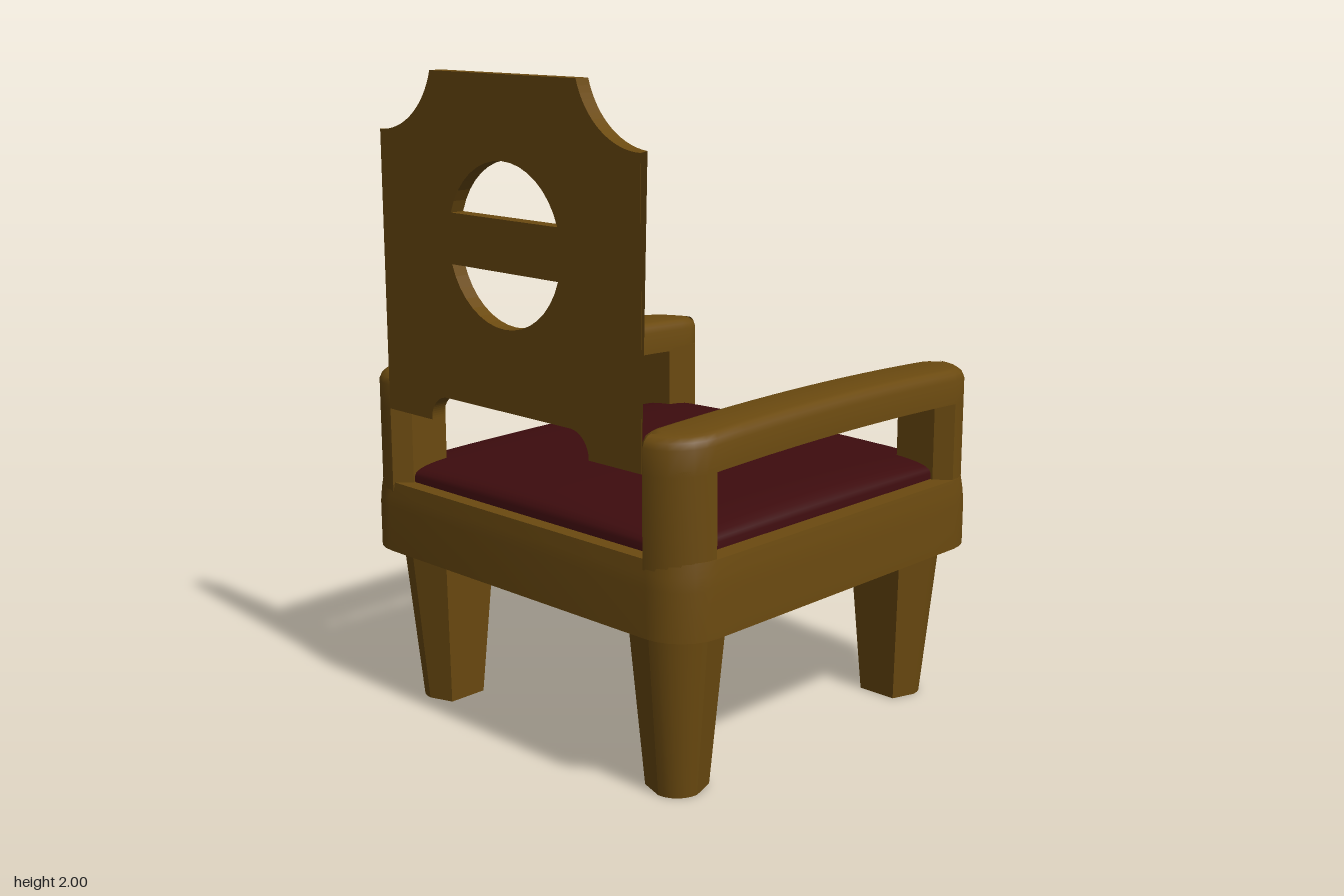
import * as THREE from 'three';
import { toCreasedNormals } from 'three/addons/utils/BufferGeometryUtils.js';

const wood = new THREE.MeshStandardMaterial({ color: 0x6b4a10 });
wood.name = 'brown wood';
const fabric = new THREE.MeshStandardMaterial({ color: 0x3d0c0e });
fabric.name = 'dark red fabric';

function add(parent, name, geometry, material) {
  const mesh = new THREE.Mesh(geometry, material);
  mesh.name = name;
  parent.add(mesh);
  return mesh;
}

// z stations of a plan with rounded ends: dense at the corners, even between
function stations(end, radius) {
  const c = end - radius, tail = [];
  for (let i = 1; i <= 6; i++) tail.push(c + radius * Math.sin((i / 6) * Math.PI / 2));
  const mid = [];
  for (let i = -5; i <= 5; i++) mid.push((i / 5) * c);
  return [...tail.map((z) => -z).reverse(), ...mid, ...tail];
}

// Stacked rings, each a run along +z on the right and back along the left, closed by strips
function loft(zs, levels, right, left, lift = () => 0) {
  const n = zs.length, m = 2 * n, pos = [], idx = [];
  const end = zs[n - 1];
  for (const [y, inset] of levels) {
    const put = (x, z) => pos.push(x, y + lift(z), z * (1 - inset / end));
    zs.forEach((z) => put(Math.max(right(z) - inset, (right(z) + left(z)) / 2), z));
    [...zs].reverse().forEach((z) => put(Math.min(left(z) + inset, (right(z) + left(z)) / 2), z));
  }
  for (let r = 0; r + 1 < levels.length; r++) {
    for (let i = 0; i < m; i++) {
      const p = r * m + i, q = r * m + (i + 1) % m;
      idx.push(p, p + m, q, q, p + m, q + m);
    }
  }
  const top = (levels.length - 1) * m;
  for (let k = 0; k + 1 < n; k++) {
    const o = k, o2 = k + 1, i = m - 1 - k, i2 = m - 2 - k;
    idx.push(top + o, top + i, top + o2, top + o2, top + i, top + i2);
    idx.push(o, o2, i, o2, i2, i);
  }
  const g = new THREE.BufferGeometry();
  g.setAttribute('position', new THREE.Float32BufferAttribute(pos, 3));
  g.setIndex(idx);
  return toCreasedNormals(g, 0.6);
}

// Upright prism from a plan drawn in x and z
function prism(points, y0, y1) {
  const shape = new THREE.Shape(points.map(([x, z]) => new THREE.Vector2(x, z)));
  const g = new THREE.ExtrudeGeometry(shape, { depth: y1 - y0, bevelEnabled: false });
  return g.rotateX(Math.PI / 2).translate(0, y1, 0);
}

const roundEdge = (cx, cz, r) => (z) =>
  cx + Math.sqrt(Math.max(0, r * r - Math.max(0, Math.abs(z) - cz) ** 2));

function quarter(cx, cz, r, sz = 1) {
  return Array.from({ length: 7 }, (_, i) => {
    const a = (i / 6) * Math.PI / 2;
    return [cx + r * Math.cos(a), sz * (cz + r * Math.sin(a))];
  });
}

// Arm with its two corner posts, on the +x side
function buildSide() {
  const side = new THREE.Group();
  side.name = 'armAssembly';
  const inner = (z) => 0.5 + Math.max(0, Math.abs(z) - 0.635) * 0.95;
  const bow = (z) => 0.018 * (1 - (z / 0.683) ** 2);
  add(side, 'arm', loft(stations(0.683, 0.14),
    [[0.967, 0], [1.04, 0], [1.058, 0.006], [1.07, 0.018], [1.074, 0.032]],
    roundEdge(0.55, 0.543, 0.14), inner, bow), wood);
  for (const sz of [-1, 1]) {
    const plan = [[0.69, sz * 0.543], ...quarter(0.55, 0.543, 0.14, sz).slice(1),
      [0.545, sz * 0.683], [0.5, sz * 0.637], [0.5, sz * 0.505], [0.64, sz * 0.505]];
    add(side, 'cornerPost', toCreasedNormals(prism(plan, 0.7, 0.985), 0.5), wood);
  }
  return side;
}

// Tapered leg, rounded towards the outer corner
function legGeometry() {
  const plan = [[-0.12, -0.12], [0.08, -0.12], ...quarter(0, 0, 0.12), [-0.12, 0.08]];
  const g = prism(plan, 0, 0.53);
  const p = g.attributes.position;
  for (let i = 0; i < p.count; i++) {
    const t = p.getY(i) / 0.53, s = 0.65 + 0.35 * t, c = 0.512 + 0.008 * t;
    p.setX(i, c + p.getX(i) * s);
    p.setZ(i, c + p.getZ(i) * s);
  }
  g.computeVertexNormals();
  return toCreasedNormals(g, 0.4);
}

// Domed seat cushion with rolled edges
function cushionGeometry() {
  const half = 0.632;
  const g = new THREE.BoxGeometry(2, 2, 2, 24, 1, 24);
  const p = g.attributes.position;
  for (let i = 0; i < p.count; i++) {
    const u = Math.sin(p.getX(i) * Math.PI / 2), w = Math.sin(p.getZ(i) * Math.PI / 2);
    const roll = Math.sqrt(Math.max(0, (1 - u ** 16) * (1 - w ** 16)));
    const crown = 0.06 - 0.02 * u * u - 0.02 * w * w;
    p.setXYZ(i, u * half, p.getY(i) > 0 ? 0.75 + crown * roll : 0.7, w * half);
  }
  return toCreasedNormals(g, 0.9);
}

// Back panel: scalloped top, arched foot, round opening crossed by a bar
function backGeometry() {
  const s = new THREE.Shape();
  s.moveTo(-0.545, 0.967);
  s.lineTo(-0.34, 0.967);
  s.absarc(-0.265, 0.97, 0.075, Math.PI, Math.PI / 2, true);
  s.absarc(0.265, 0.97, 0.075, Math.PI / 2, 0, true);
  s.lineTo(0.34, 0.967);
  s.lineTo(0.545, 0.967);
  s.lineTo(0.545, 1.82);
  s.absarc(0.545, 2.07, 0.25, -Math.PI / 2, -Math.PI + 0.284, true);
  s.lineTo(-0.305, 2);
  s.absarc(-0.545, 2.07, 0.25, -0.284, -Math.PI / 2, true);
  s.lineTo(-0.545, 0.967);
  const a = Math.asin(0.075 / 0.238);
  for (const start of [a, Math.PI + a]) {
    const hole = new THREE.Path();
    hole.absarc(0, 1.524, 0.238, start, start + Math.PI - 2 * a, false);
    hole.closePath();
    s.holes.push(hole);
  }
  const g = new THREE.ExtrudeGeometry(s, { depth: 0.046, bevelEnabled: false, curveSegments: 8 });
  // mitred side edges
  const p = g.attributes.position;
  for (let i = 0; i < p.count; i++) {
    const x = p.getX(i);
    if (Math.abs(x) > 0.54 && p.getZ(i) < 0.01) p.setX(i, x - Math.sign(x) * 0.045);
  }
  g.computeVertexNormals();
  return g.translate(0, 0, 0.638);
}

export function createModel() {
  const chair = new THREE.Group();
  chair.name = 'armchair';

  const edge = roundEdge(0.56, 0.547, 0.14);
  add(chair, 'seatFrame', loft(stations(0.687, 0.14),
    [[0.507, 0], [0.65, 0], [0.69, 0.003], [0.73, 0.008]], edge, (z) => -edge(z)), wood);
  add(chair, 'cushion', cushionGeometry(), fabric);
  add(chair, 'backPanel', backGeometry(), wood);

  for (const turn of [0, Math.PI]) {
    const side = buildSide();
    side.rotation.y = turn;
    chair.add(side);
  }
  const leg = legGeometry();
  for (let k = 0; k < 4; k++) add(chair, 'leg', leg, wood).rotation.y = k * Math.PI / 2;
  return chair;
}
